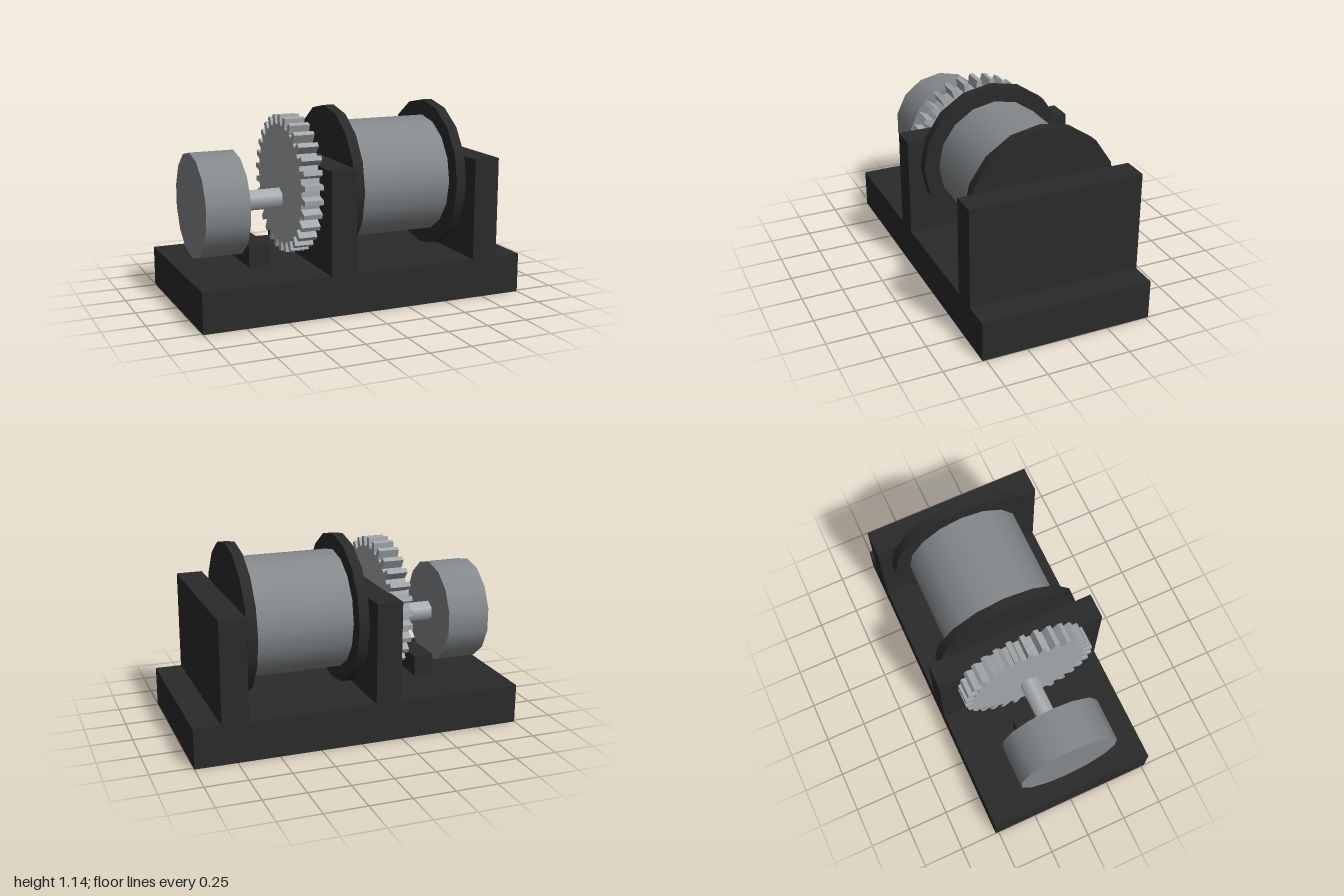
import * as THREE from 'three';

const paint = (color, extra = {}) => new THREE.MeshStandardMaterial({ color, ...extra });

export function createModel() {
  const model = new THREE.Group();
  const dark = paint(0x2a2a2a);
  const steel = paint(0x85898c);
  const bright = paint(0xb0b4b6);

  const add = (name, geometry, material) => {
    const mesh = new THREE.Mesh(geometry, material);
    mesh.name = name;
    model.add(mesh);
    return mesh;
  };

  // Box given by its x and y ranges and full depth
  const box = (name, x0, x1, y0, y1, depth, material) => {
    const geometry = new THREE.BoxGeometry(x1 - x0, y1 - y0, depth);
    geometry.translate((x0 + x1) / 2, (y0 + y1) / 2, 0);
    return add(name, geometry, material);
  };

  // Cylinder lying along x, with a corner pointing straight up
  const roller = (name, x0, x1, y, radius, sides, material) => {
    const geometry = new THREE.CylinderGeometry(radius, radius, x1 - x0, sides, 1, false, Math.PI / 2);
    geometry.rotateZ(Math.PI / 2);
    geometry.translate((x0 + x1) / 2, y, 0);
    return add(name, geometry, material);
  };

  // Base: a thin shell, open underneath
  const base = box('base', -1, 1, 0, 0.24, 1.04, paint(0x2a2a2a, { side: THREE.DoubleSide }));
  const faces = Array.from(base.geometry.index.array);
  faces.splice(18, 6); // bottom face
  base.geometry.setIndex(faces);
  base.geometry.clearGroups();

  // Supports
  box('innerSupport', -0.24, -0.085, 0.24, 0.845, 1.046, dark);
  box('outerSupport', 0.68, 0.838, 0.24, 0.845, 1.046, dark);
  box('motorBracket', -0.607, -0.485, 0.24, 0.365, 0.32, dark);

  // Drum and its flanges
  const axisY = 0.69;
  roller('drum', -0.01, 0.605, axisY, 0.36, 16, steel);
  roller('innerFlange', -0.065, -0.003, axisY, 0.455, 16, dark);
  roller('outerFlange', 0.598, 0.66, axisY, 0.455, 16, dark);

  // Motor and drive shaft
  roller('motor', -0.903, -0.64, 0.603, 0.312, 14, steel);
  roller('driveShaft', -0.65, -0.34, 0.603, 0.062, 6, bright);

  // Gear: tapered teeth around a disc
  const teeth = 30;
  const outline = [];
  for (let i = 0; i < teeth; i++) {
    for (const [offset, r] of [[-0.29, 0.355], [-0.17, 0.412], [0.17, 0.412], [0.29, 0.355]]) {
      const a = ((i + offset) / teeth) * Math.PI * 2 + Math.PI / 2;
      outline.push(new THREE.Vector2(Math.cos(a) * r, Math.sin(a) * r));
    }
  }
  const gear = new THREE.ExtrudeGeometry(new THREE.Shape(outline), { depth: 0.125, bevelEnabled: false });
  gear.rotateY(Math.PI / 2);
  gear.translate(-0.355, axisY, 0);
  add('gear', gear, paint(0xa4a8aa, { flatShading: true }));

  return model;
}
